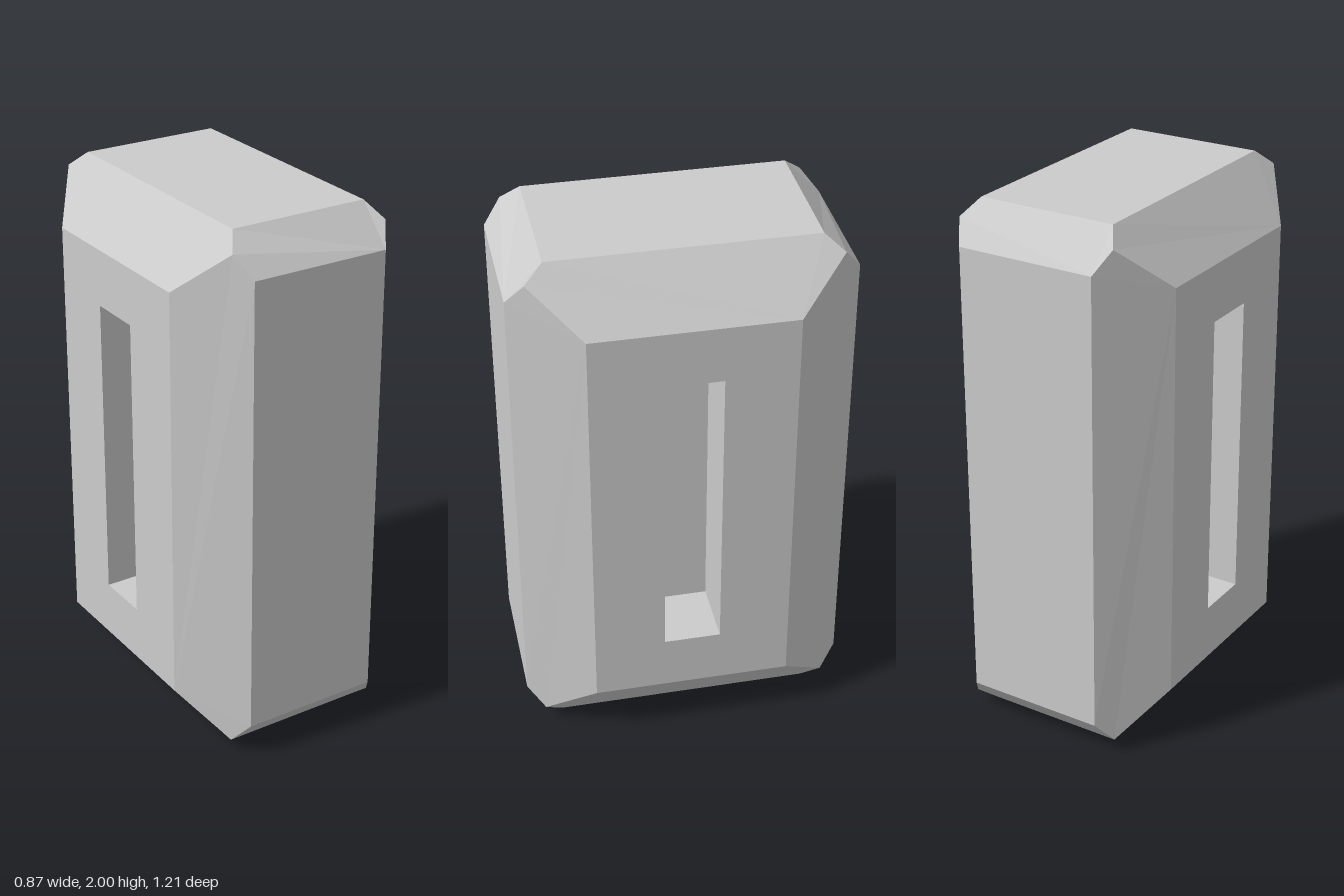
import * as THREE from 'three';

const SIGNS = [-1, 1];

// Flat convex polygons, each wound so that it faces along its given direction
function facesMesh(name, faces) {
  const pos = [];
  for (const { pts, dir } of faces) {
    const v = pts.map((p) => new THREE.Vector3(...p));
    const n = v[1].clone().sub(v[0]).cross(v[2].clone().sub(v[0]));
    if (n.dot(new THREE.Vector3(...dir)) < 0) v.reverse();
    for (let i = 1; i < v.length - 1; i++) {
      for (const q of [v[0], v[i], v[i + 1]]) pos.push(q.x, q.y, q.z);
    }
  }
  const geo = new THREE.BufferGeometry();
  geo.setAttribute('position', new THREE.Float32BufferAttribute(pos, 3));
  geo.computeVertexNormals();
  const mesh = new THREE.Mesh(geo, new THREE.MeshStandardMaterial({ color: 0xcccccc, flatShading: true }));
  mesh.name = name;
  return mesh;
}

export function createModel() {
  const group = new THREE.Group();
  group.name = 'bevelledBlock';

  // One octant of the block: corners of the side, front and top faces, and where the bevels meet
  const X = [0.437, 0.78, 0.365];
  const Z = [0.263, 0.862, 0.607];
  const Y = [0.263, 1, 0.475];
  const K = [0.306, 0.942, 0.543];
  const at = (p, sx, sy, sz) => [p[0] * sx, 1 + p[1] * sy, p[2] * sz];
  const ring = [[-1, -1], [1, -1], [1, 1], [-1, 1]];

  // Front, back, top and bottom faces
  const body = [];
  for (const s of SIGNS) {
    body.push({ pts: ring.map(([a, b]) => at(Z, a, b, s)), dir: [0, 0, s] });
    body.push({ pts: ring.map(([a, b]) => at(Y, a, s, b)), dir: [0, s, 0] });
  }

  // Bevels along the upright, side and front edges
  for (const a of SIGNS) {
    for (const b of SIGNS) {
      const bevel = (place, P, Q, dir) => body.push({
        pts: [place(P, 1), place(K, 1), place(Q, 1), place(Q, -1), place(K, -1), place(P, -1)], dir,
      });
      bevel((p, t) => at(p, a, t, b), X, Z, [a, 0, b]);
      bevel((p, t) => at(p, a, b, t), X, Y, [a, b, 0]);
      bevel((p, t) => at(p, t, a, b), Z, Y, [0, a, b]);
    }
  }

  // Side faces, each a frame around its slot
  const slotY = 0.57, slotZ = 0.104, depth = 0.25;
  const outer = (s) => ring.map(([a, b]) => at(X, s, b, a));
  const slot = (s, x) => ring.map(([a, b]) => [s * x, 1 + slotY * b, slotZ * a]);
  for (const s of SIGNS) {
    const rim = slot(s, X[0]), floor = slot(s, X[0] - depth), edge = outer(s);
    const walls = [{ pts: floor, dir: [s, 0, 0] }];
    const inward = [[0, 1, 0], [0, 0, -1], [0, -1, 0], [0, 0, 1]];
    for (let i = 0; i < 4; i++) {
      const j = (i + 1) % 4;
      body.push({ pts: [edge[i], edge[j], rim[j], rim[i]], dir: [s, 0, 0] });
      walls.push({ pts: [rim[i], rim[j], floor[j], floor[i]], dir: inward[i] });
    }
    group.add(facesMesh(s > 0 ? 'leftSlot' : 'rightSlot', walls));
  }

  group.add(facesMesh('body', body));
  return group;
}
